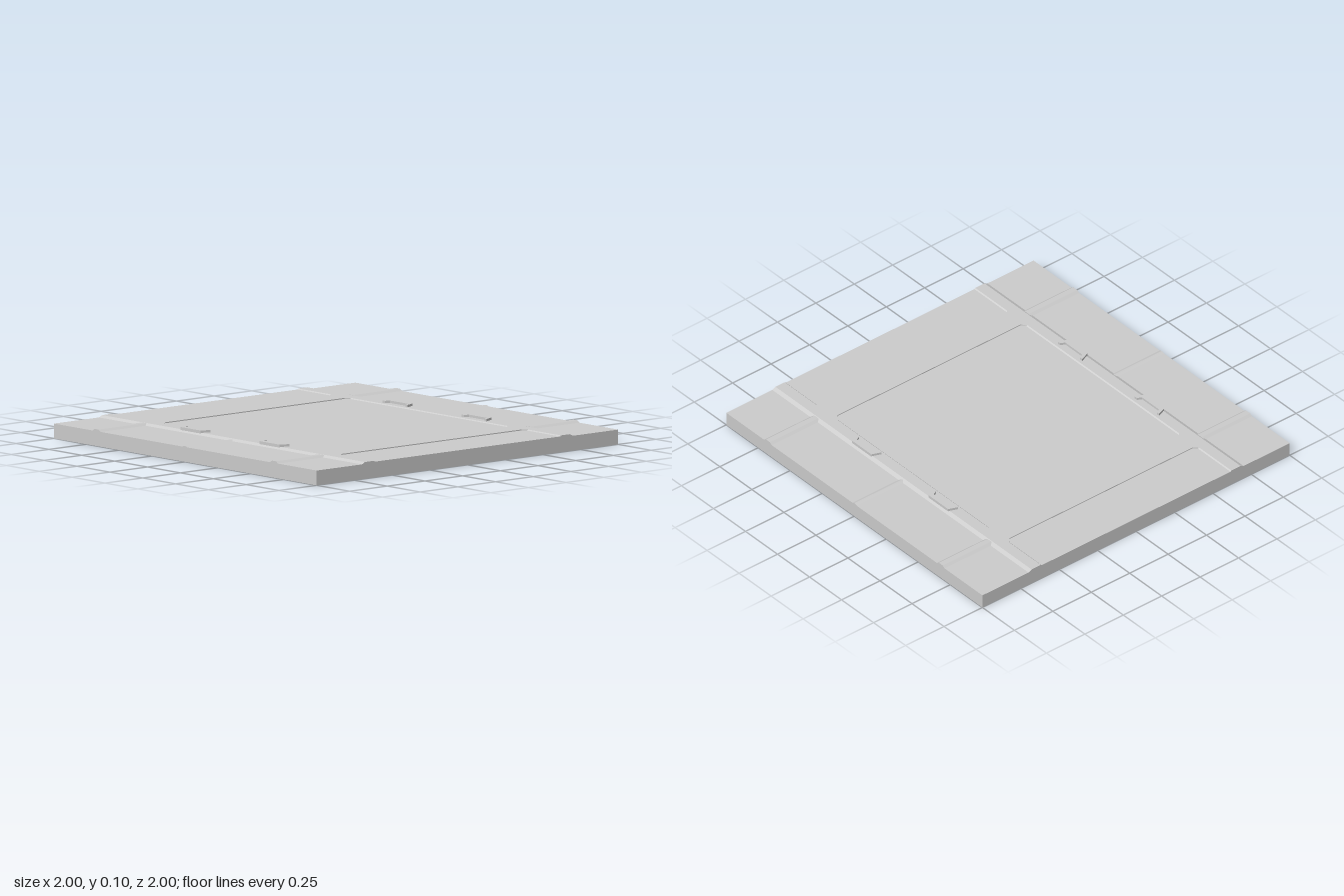
import * as THREE from 'three';

const material = new THREE.MeshStandardMaterial({ color: 0xcccccc, flatShading: true });

const PAD = 0.075;    // height of the low side bays
const PANEL = 0.08;   // height of the sunken floor panels
const DECK = 0.085;   // height of the raised framework
const TOP = 0.097;    // height of the grab handles

function extrude(points, depth) {
  const shape = new THREE.Shape(points.map(([x, y]) => new THREE.Vector2(x, y)));
  return new THREE.ExtrudeGeometry(shape, { depth, bevelEnabled: false });
}

// Plan outline given as [x, z], raised from y0 to y1
function raisePlan(points, y0, y1) {
  const geometry = extrude(points.map(([x, z]) => [x, -z]), y1 - y0);
  return geometry.rotateX(-Math.PI / 2).translate(0, y0, 0);
}

function add(parent, name, geometry) {
  const mesh = new THREE.Mesh(geometry, material);
  mesh.name = name;
  parent.add(mesh);
  return mesh;
}

export function createModel() {
  const model = new THREE.Group();
  model.name = 'floorTile';

  // Slab with low bays, two raised rails and a sunken middle, run along z
  const half = [[1, 0], [1, PAD], [0.7, PAD], [0.68, DECK], [0.62, DECK], [0.614, PANEL]];
  const profile = [...half, ...half.map(([x, y]) => [-x, y]).reverse()];
  add(model, 'slab', extrude(profile, 2).translate(0, 0, -1));

  // Crossbars dividing the middle into panels, flared to chamfer panel corners
  const w = 0.62, cut = 0.025;
  const bar = [
    [-w, 0.618 - cut], [-w + cut, 0.618], [w - cut, 0.618], [w, 0.618 - cut],
    [w, 0.727 + cut], [w - cut, 0.727], [-w + cut, 0.727], [-w, 0.727 + cut],
  ];
  for (const side of [0, Math.PI]) {
    add(model, 'crossbar', raisePlan(bar, PANEL, DECK)).rotation.y = side;
  }

  // Sloped ribs across the side bays: centre z, half width, top height
  const ribs = [[-0.675, 0.03, DECK], [-0.003, 0.018, 0.081], [0.675, 0.03, DECK]];
  for (const [z, r, top] of ribs) {
    for (const x of [-1, 0.685]) {
      const section = [[-r, PAD], [r, PAD], [r - 0.015, top], [-r + 0.015, top]];
      const rib = extrude(section, 0.315).rotateY(Math.PI / 2);
      add(model, 'sideRib', rib.translate(x, 0, z));
    }
  }

  // C-shaped handles opening inward, repeated by a half turn
  const handle = [
    [0.637, -0.095], [0.686, -0.076], [0.686, 0.076], [0.637, 0.095],
    [0.637, 0.078], [0.661, 0.066], [0.661, -0.066], [0.637, -0.078],
  ];
  for (const side of [0, Math.PI]) {
    const pair = new THREE.Group();
    pair.name = 'handlePair';
    for (const z of [-0.28, 0.32]) {
      add(pair, 'handle', raisePlan(handle, 0.08, TOP)).position.z = z;
    }
    pair.rotation.y = side;
    model.add(pair);
  }

  return model;
}
